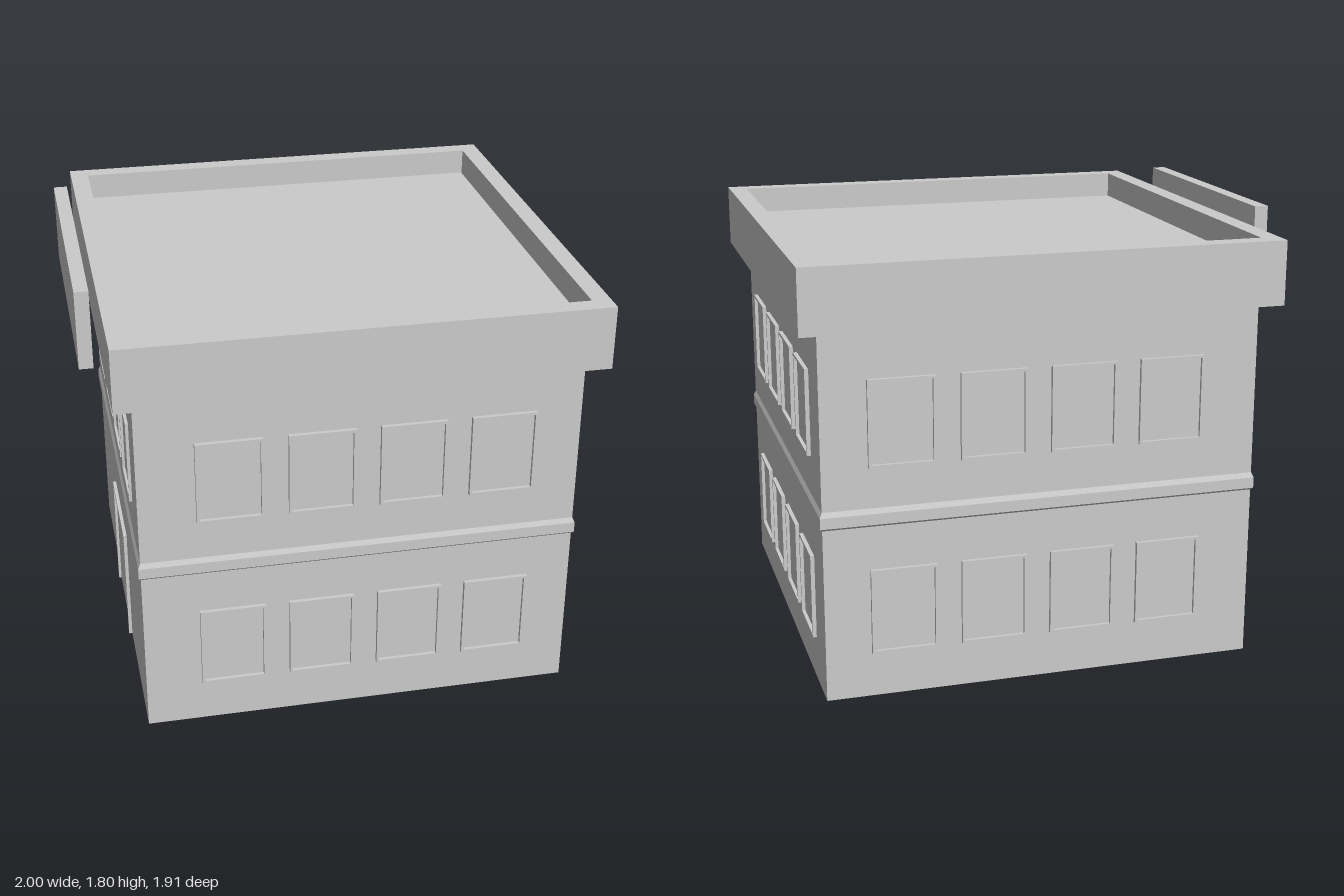
import * as THREE from 'three';

const material = new THREE.MeshStandardMaterial({ color: 0xcccccc, flatShading: true });
const HALF = 0.878; // half width of the square body
const CENTRE_X = 0.044;

function add(parent, name, geometry, x = 0, y = 0, z = 0) {
  const mesh = new THREE.Mesh(geometry, material);
  mesh.name = name;
  mesh.position.set(x, y, z);
  parent.add(mesh);
  return mesh;
}

const box = (w, h, d) => new THREE.BoxGeometry(w, h, d);

// Rectangular ring in the xy plane, extruded along +z
function ring(w, h, innerW, innerH, depth) {
  const rect = (path, a, b) => path
    .moveTo(-a / 2, -b / 2).lineTo(a / 2, -b / 2).lineTo(a / 2, b / 2).lineTo(-a / 2, b / 2).closePath();
  const shape = rect(new THREE.Shape(), w, h);
  shape.holes.push(rect(new THREE.Path(), innerW, innerH));
  return new THREE.ExtrudeGeometry(shape, { depth, bevelEnabled: false });
}

function addWindow(wall, x, y, depth) {
  const w = 0.264, h = 0.346, edge = 0.011;
  const group = new THREE.Group();
  group.name = 'window';
  group.position.set(x, y, HALF);
  add(group, 'windowFrame', ring(w, h, w - 2 * edge, h - 2 * edge, depth));
  add(group, 'windowPane', box(w - 2 * edge, h - 2 * edge, 0.004));
  wall.add(group);
}

function addDoor(wall) {
  const w = 0.47, h = 0.507, edge = 0.018, depth = 0.014;
  const group = new THREE.Group();
  group.name = 'doubleDoor';
  group.position.z = HALF;
  for (const side of [-1, 1]) {
    add(group, 'doorJamb', box(edge, h, depth), side * (w - edge) / 2, h / 2, depth / 2);
    add(group, 'doorLeaf', box(w / 2 - edge - 0.003, h - edge - 0.004, 0.006),
      side * (w - 2 * edge) / 4, (h - edge) / 2, 0);
  }
  add(group, 'doorLintel', box(w - 2 * edge, edge, depth), 0, h - edge / 2, depth / 2);
  wall.add(group);
}

export function createModel() {
  const model = new THREE.Group();
  model.name = 'building';
  const building = new THREE.Group();
  building.name = 'buildingBlock';
  building.position.x = CENTRE_X;
  model.add(building);

  // Main block; its top is the sunken roof deck
  const deckY = 1.63;
  add(building, 'body', box(2 * HALF, deckY, 2 * HALF), 0, deckY / 2, 0);

  // Overhanging parapet
  const parapet = add(building, 'parapet',
    ring(1.908, 1.908, 2 * HALF, 2 * HALF, 0.258), 0.002, 1.48, 0);
  parapet.rotation.x = -Math.PI / 2;

  // Moulding between the floors: a four-sided lathe
  const profile = [[0, 0.704], [0.009, 0.713], [0.009, 0.757], [0, 0.778]]
    .map(([out, y]) => new THREE.Vector2((HALF + out) * Math.SQRT2, y));
  add(building, 'floorBand', new THREE.LatheGeometry(profile, 4, Math.PI / 4));

  // Each wall: turn, sideways shift of its windows, frame depth, rows of windows
  const walls = [
    { name: 'frontWall', turn: 0, shift: 0.022, depth: 0.017, rows: [0.355, 1.114] },
    { name: 'xPlusWall', turn: 1, shift: 0, depth: 0.016, rows: [0.355, 1.114] },
    { name: 'backWall', turn: 2, shift: -0.022, depth: 0.015, rows: [0.355, 1.114] },
    { name: 'entranceWall', turn: 3, shift: 0, depth: 0.012, rows: [1.114] },
  ];
  for (const { name, turn, shift, depth, rows } of walls) {
    const wall = new THREE.Group();
    wall.name = name;
    wall.rotation.y = turn * Math.PI / 2;
    building.add(wall);
    for (const y of rows)
      for (let i = 0; i < 4; i++) addWindow(wall, shift + (i - 1.5) * 0.3615, y, depth);
    if (name === 'entranceWall') addDoor(wall);
  }

  // Plain sign board standing off the parapet above the entrance
  add(model, 'signBoard', box(0.056, 0.32, 1.142), -0.972, 1.645, 0);

  return model;
}
